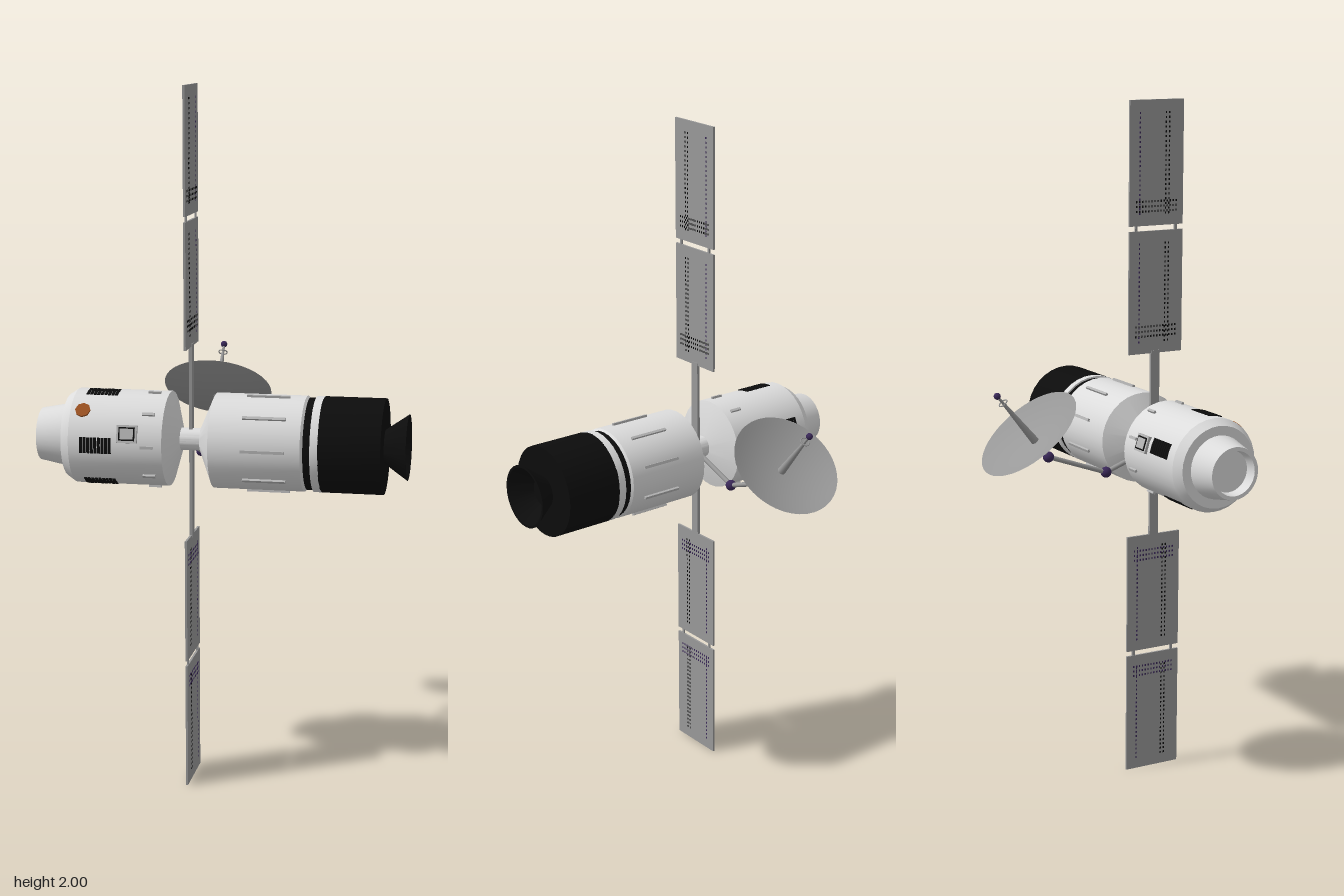
import * as THREE from 'three';
import { mergeGeometries, toCreasedNormals } from 'three/addons/utils/BufferGeometryUtils.js';

const AXIS_Y = 1.008, AXIS_Z = 0.205, R = 0.135, MAST_X = -0.092;

function mat(name, color, side = THREE.FrontSide) {
  const m = new THREE.MeshStandardMaterial({ color, side });
  m.name = name;
  return m;
}

export function createModel() {
  const white = mat('hull white', 0xdcdcdc);
  const rail = mat('rail grey', 0xb4b4b4);
  const grey = mat('panel grey', 0x999999, THREE.DoubleSide);
  const black = mat('black', 0x0c0c0c);
  const purple = mat('joint purple', 0x3a2858);
  const orange = mat('hatch orange', 0x9a5020);

  const model = new THREE.Group();
  model.name = 'spaceStation';

  const add = (parent, name, geometry, material, x = 0, y = 0, z = 0) => {
    const mesh = new THREE.Mesh(geometry, material);
    mesh.name = name;
    mesh.position.set(x, y, z);
    parent.add(mesh);
    return mesh;
  };
  const box = (w, h, d, x = 0, y = 0, z = 0) => new THREE.BoxGeometry(w, h, d).translate(x, y, z);

  // Hull pieces turned around the x axis; profile is [x, radius]
  const hull = new THREE.Group();
  hull.name = 'hull';
  hull.position.set(0, AXIS_Y, AXIS_Z);
  model.add(hull);
  const turn = (name, material, profile) => {
    const points = profile.map(([x, r]) => new THREE.Vector2(r, x));
    const g = new THREE.LatheGeometry(points, 32).rotateZ(-Math.PI / 2);
    return add(hull, name, toCreasedNormals(g, 0.35), material);
  };
  turn('crewModule', white, [
    [-0.495, 0], [-0.495, 0.06], [-0.528, 0.064], [-0.528, 0.075], [-0.444, 0.091],
    [-0.444, 0.118], [-0.418, R], [-0.15, R], [-0.12, 0.04], [-0.12, 0]]);
  turn('neck', white, [[-0.122, 0], [-0.122, 0.032], [-0.06, 0.032], [-0.06, 0]]);
  turn('serviceModule', white, [
    [-0.063, 0], [-0.063, 0.036], [-0.02, R], [0.238, R], [0.247, 0.126], [0.247, 0]]);
  turn('darkGroove', black, [[0.245, 0], [0.245, 0.13], [0.267, 0.13], [0.267, 0]]);
  turn('whiteBand', white, [[0.265, 0], [0.265, R], [0.288, R], [0.288, 0]]);
  turn('engineDrum', black, [[0.287, 0], [0.287, R], [0.46, R], [0.46, 0]]);
  turn('engineBell', black, [
    [0.455, 0.046], [0.46, 0.048], [0.525, 0.093], [0.525, 0.086], [0.465, 0.042], [0.465, 0]]);

  // Holder whose local +z points outward at an angle measured from front to top
  const radial = (name, degrees) => {
    const g = new THREE.Group();
    g.name = name;
    g.rotation.x = -THREE.MathUtils.degToRad(degrees);
    hull.add(g);
    return g;
  };

  // Handrails around both modules
  for (let a = 0; a < 360; a += 40) {
    const holder = radial('handrails', a);
    add(holder, 'shortRail', box(0.036, 0.008, 0.01), rail, -0.192, 0, R + 0.001);
    add(holder, 'longRail', box(0.122, 0.008, 0.01), rail, 0.134, 0, R + 0.001);
  }

  // Slatted radiator vents
  for (const a of [0, 80, 160, 240, 300]) {
    const slats = [];
    for (let i = 0; i < 9; i++) {
      for (const s of [-1, 1]) {
        slats.push(box(0.008, 0.023, 0.005, 0, s * 0.011, 0)
          .rotateX(-s * 0.08).translate(-0.381 + i * 0.0103, 0, R));
      }
    }
    add(radial('vent', a), 'ventSlats', mergeGeometries(slats), black);
  }

  // Framed windows
  for (const a of [15, 162]) {
    const holder = radial('window', a);
    add(holder, 'windowFrame', box(0.058, 0.05, 0.014), rail, -0.248, 0, R);
    add(holder, 'windowOutline', box(0.046, 0.038, 0.002), black, -0.248, 0, R + 0.008);
    add(holder, 'windowPane', box(0.038, 0.03, 0.002), rail, -0.248, 0, R + 0.0092);
  }

  // Orange hatch
  const disc = new THREE.CylinderGeometry(0.022, 0.022, 0.008, 8).rotateX(Math.PI / 2);
  add(radial('hatch', 43), 'orangeHatch', disc, orange, -0.382, 0, R);

  // Solar mast and panels
  add(model, 'mast', box(0.009, 0.56, 0.028), grey, MAST_X, 1.003, 0.203);
  const panels = [[1.645, 2, 1.70], [1.275, 1.63, 1.34], [0.375, 0.73, 0.67], [0, 0.36, 0.31]];
  panels.forEach(([bottom, top, bandY], index) => {
    const panel = new THREE.Group();
    panel.name = 'solarPanel';
    panel.position.set(MAST_X, 0, AXIS_Z - 0.002);
    model.add(panel);
    add(panel, 'panelSheet', box(0.006, top - bottom, 0.176), grey, 0, (top + bottom) / 2, 0);

    // Dotted cell markings showing on both faces
    const dot = (y, z) => box(0.0074, 0.006, 0.004, 0, y, z);
    const column = [], edge = [], band = [];
    for (let y = bottom + 0.035; y < top - 0.03; y += 0.0135) {
      column.push(dot(y, 0.03), dot(y, 0.041));
      edge.push(dot(y, -0.055));
    }
    for (let row = -1; row <= 1; row++) {
      for (let i = 0; i < 14; i++) band.push(dot(bandY + row * 0.014, -0.065 + i * 0.01));
    }
    add(panel, 'cellColumns', mergeGeometries(column), black);
    add(panel, 'cellEdge', mergeGeometries(edge), purple);
    add(panel, 'cellBand', mergeGeometries(band), index < 2 ? black : purple);
  });
  for (const y of [1.6375, 0.3675]) {
    for (const s of [-1, 1]) {
      add(model, 'panelHinge', box(0.005, 0.02, 0.008), grey, MAST_X, y, 0.203 + s * 0.065);
    }
  }

  // Antenna arm with ball joints
  const rod = (name, a, b, r) => {
    const path = new THREE.LineCurve3(a, b);
    return add(model, name, new THREE.TubeGeometry(path, 1, r, 10), grey);
  };
  const X = -0.097;
  const root = new THREE.Vector3(X, 0.997, 0.2);
  const elbow = new THREE.Vector3(X, 0.938, 0.04);
  const wrist = new THREE.Vector3(X, 1.005, -0.148);
  rod('lowerArm', root, elbow, 0.007);
  rod('upperArm', elbow, wrist, 0.007);
  const ball = new THREE.SphereGeometry(0.016, 16, 12);
  add(model, 'elbowJoint', ball, purple, ...elbow.toArray());
  add(model, 'wristJoint', ball, purple, ...wrist.toArray());

  // Dish, tilted up and back, with its feed horn
  const antenna = new THREE.Group();
  antenna.name = 'dishAntenna';
  antenna.position.copy(wrist);
  antenna.rotation.x = -0.695;
  model.add(antenna);
  const bowl = [];
  for (let i = 0; i <= 8; i++) {
    const t = i / 8;
    bowl.push(new THREE.Vector2(0.163 * t, 0.066 + 0.032 * t * t));
  }
  add(antenna, 'dishBowl', new THREE.LatheGeometry(bowl, 40), grey);
  add(antenna, 'dishStem', new THREE.CylinderGeometry(0.007, 0.007, 0.07, 10), grey, 0, 0.035, 0);
  add(antenna, 'feedCone', new THREE.CylinderGeometry(0.005, 0.012, 0.15, 12), grey, 0, 0.141, 0);
  add(antenna, 'feedTip', new THREE.CylinderGeometry(0.004, 0.004, 0.04, 8), grey, 0, 0.23, 0);
  add(antenna, 'feedRing', new THREE.TorusGeometry(0.013, 0.0018, 6, 20).rotateX(Math.PI / 2), grey, 0, 0.222, 0);
  add(antenna, 'feedBall', new THREE.SphereGeometry(0.01, 12, 10), purple, 0, 0.25, 0);

  return model;
}
